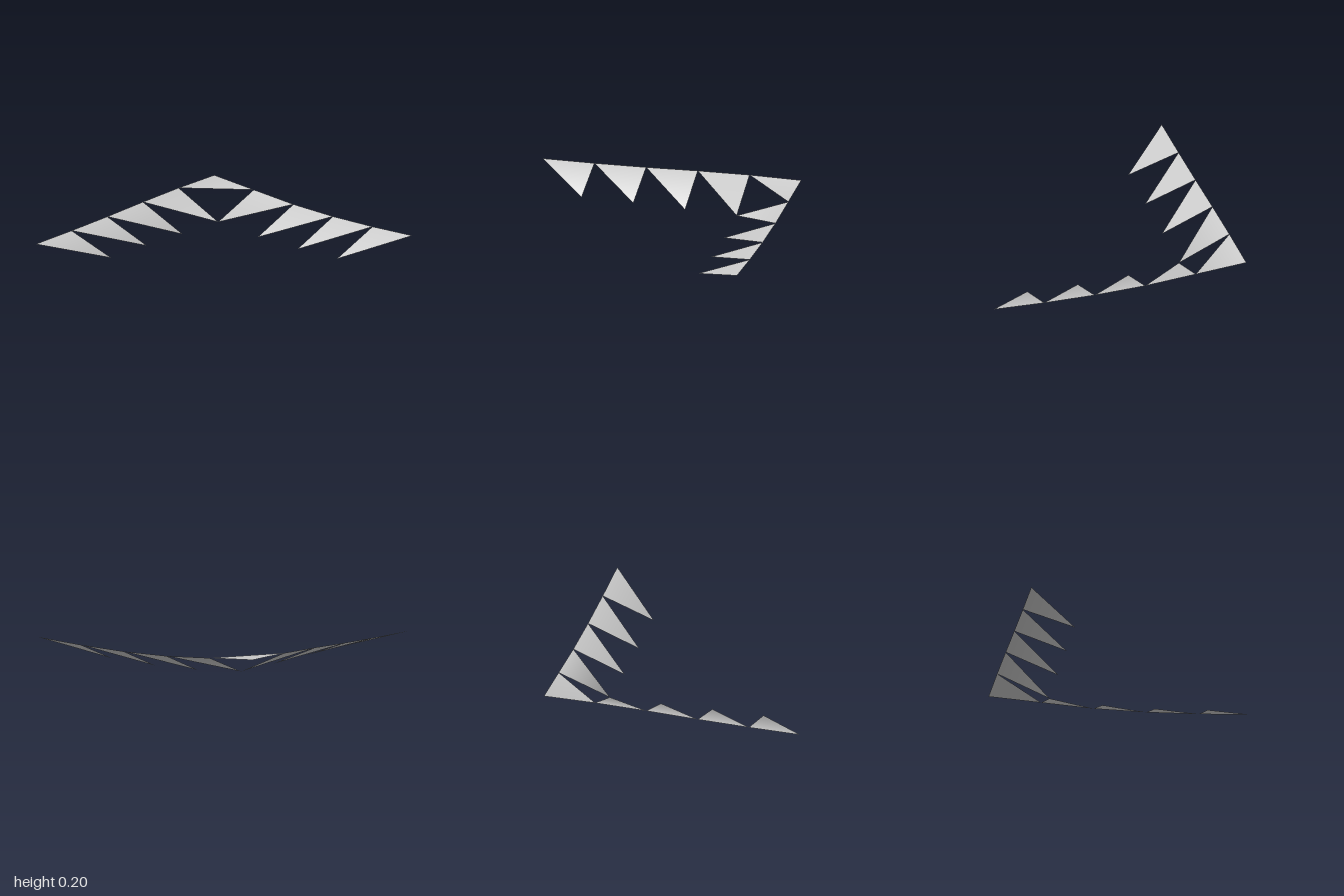
import * as THREE from 'three';

const STEP = 0.4;
// Heights along the back edge (x from -1 to 1) and the side edge (z from -1 to 1)
const backEdge = [0.18, 0.18, 0.185, 0.195, 0.2, 0.195];
const sideEdge = [0.195, 0.175, 0.155, 0.155, 0.17, 0.195];
// Heights of the drooping tips: one cell in from the back, one cell in from the side
const backTips = [0, 0.06, 0.05, 0.035, 0.025];
const sideTips = [0, 0.025, 0, 0, 0.02];

// Position and normal of grid point (column i, row j)
function gridPoint(i, j) {
  let y;
  const normal = new THREE.Vector3(0, 1, 0);
  if (j === 0) {
    y = backEdge[i];
    normal.z = 0.3;
  } else if (i === 5) {
    y = sideEdge[j];
    normal.x = -0.3;
  } else {
    // Tips lean towards the open middle
    const onBack = j === 1;
    const onSide = i === 4;
    y = onBack ? backTips[i] : sideTips[j];
    if (onBack) normal.z = 1.1;
    if (onSide) normal.x = -0.8;
  }
  return { position: [-1 + i * STEP, y, -1 + j * STEP], normal: normal.normalize().toArray() };
}

// One triangular pennant filling half of cell (i, j)
function pennant(i, j, material, name) {
  const corners = [gridPoint(i, j), gridPoint(i + 1, j + 1), gridPoint(i + 1, j)];
  const geometry = new THREE.BufferGeometry();
  geometry.setAttribute('position', new THREE.Float32BufferAttribute(corners.flatMap((c) => c.position), 3));
  geometry.setAttribute('normal', new THREE.Float32BufferAttribute(corners.flatMap((c) => c.normal), 3));
  const mesh = new THREE.Mesh(geometry, material);
  mesh.name = name;
  return mesh;
}

export function createModel() {
  const group = new THREE.Group();
  group.name = 'pennantBorder';
  const grey = new THREE.MeshStandardMaterial({ color: 0xcccccc, side: THREE.DoubleSide });
  grey.name = 'light grey';

  // Back row, the shared corner, then the row down the left side
  for (let i = 0; i < 4; i++) group.add(pennant(i, 0, grey, `backPennant${i + 1}`));
  group.add(pennant(4, 0, grey, 'cornerPennant'));
  for (let j = 1; j < 5; j++) group.add(pennant(4, j, grey, `sidePennant${j}`));
  return group;
}
